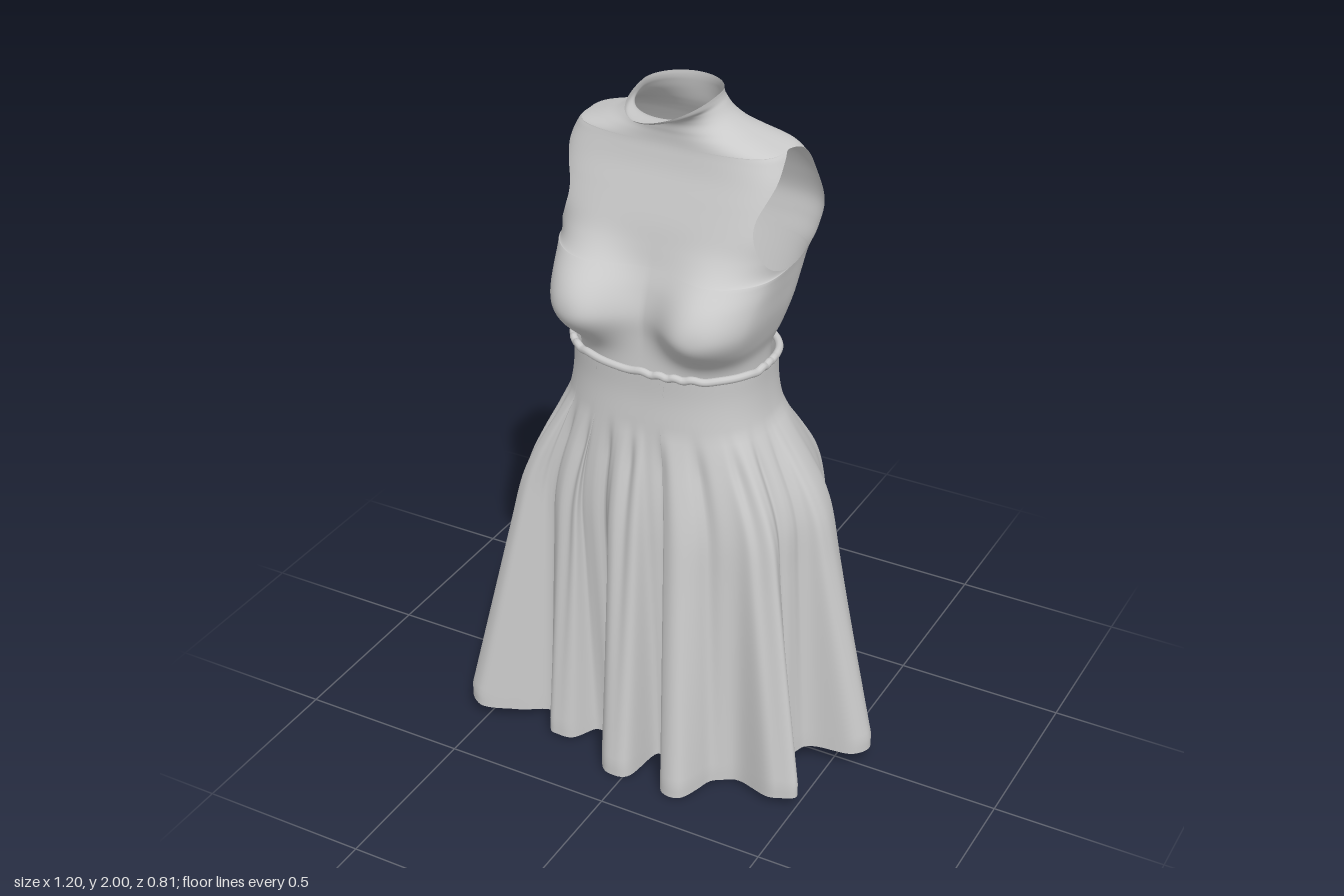
import * as THREE from 'three';
import { mergeGeometries, mergeVertices } from 'three/addons/utils/BufferGeometryUtils.js';

const { clamp, lerp, smoothstep } = THREE.MathUtils;
const CX = -0.013; // the body sits slightly off centre

// Smooth interpolation of a table whose first column is y
function sampleAt(table, y) {
  const last = table.length - 1;
  let i = 0;
  while (i < last - 1 && y > table[i + 1][0]) i++;
  const h = table[i + 1][0] - table[i][0], u = clamp((y - table[i][0]) / h, 0, 1);
  const slope = (k, c) => {
    const a = table[Math.max(k - 1, 0)], b = table[Math.min(k + 1, last)];
    return (b[c] - a[c]) / (b[0] - a[0]);
  };
  return table[i].map((p, c) => {
    const q = table[i + 1][c], w = u * u * (3 - 2 * u);
    return p + (q - p) * w + h * u * (1 - u) * ((1 - u) * slope(i, c) - u * slope(i + 1, c));
  });
}

// Point of a rounded-box outline in direction a; n sets how boxy it is
function outlinePoint(a, n) {
  const c = Math.cos(a), s = Math.sin(a);
  const r = (Math.abs(c) ** n + Math.abs(s) ** n) ** (-1 / n);
  return [r * c, r * s];
}

// Surface from rows (bottom to top) of points, outside facing out
function grid(rows) {
  const n = rows[0].length, index = [];
  for (let i = 0; i < rows.length - 1; i++) {
    for (let j = 0; j < n - 1; j++) {
      const a = i * n + j, b = a + 1, c = a + n, d = c + 1;
      index.push(a, c, b, b, c, d);
    }
  }
  const g = new THREE.BufferGeometry();
  g.setAttribute('position', new THREE.Float32BufferAttribute(rows.flat(2), 3));
  g.setIndex(index);
  return g;
}

function smooth(parts) {
  const g = mergeVertices(mergeGeometries(parts), 1e-4);
  g.computeVertexNormals();
  return g;
}

// Bodice: y, half width, side z, centre front z, centre back z, boxiness
const BODICE = [
  [1.2, 0.264, 0.02, 0.222, -0.152, 2.4],
  [1.3, 0.266, 0.02, 0.214, -0.16, 2.6],
  [1.36, 0.286, 0.01, 0.21, -0.17, 3],
  [1.43, 0.305, 0, 0.207, -0.187, 3.4],
  [1.5, 0.316, -0.02, 0.19, -0.205, 3.6],
  [1.56, 0.326, -0.035, 0.17, -0.22, 3.8],
  [1.61, 0.343, -0.04, 0.157, -0.229, 4.3],
  [1.67, 0.355, -0.04, 0.141, -0.233, 5],
  [1.74, 0.355, -0.04, 0.117, -0.215, 5],
  [1.8, 0.343, -0.04, 0.096, -0.192, 4.6],
  [1.85, 0.315, -0.04, 0.084, -0.168, 3.8],
  [1.87, 0.295, -0.04, 0.081, -0.157, 3.4],
  [1.89, 0.242, -0.036, 0.081, -0.146, 2.8],
  [1.91, 0.188, -0.03, 0.083, -0.137, 2.4],
  [1.94, 0.142, -0.025, 0.093, -0.128, 2.1],
  [1.973, 0.117, -0.018, 0.135, -0.12, 2],
  [1.988, 0.112, -0.012, 0.198, -0.118, 2],
  [2, 0.111, -0.01, 0.217, -0.118, 2],
];
const ARM = { y: 1.7125, radius: 0.1575, front: 0.147, back: 0.15 };

// One half of a bodice row, running from the left side to the right;
// the armhole pushes its ends in from the side seam
function panelRow(y, front) {
  const [, w, zm, zf, zb, n] = sampleAt(BODICE, y);
  const k = clamp((ARM.y - y) / ARM.radius, -1, 1), open = Math.sqrt(1 - k * k);
  const depth = front ? zf - zm : zm - zb;
  const t = (open * (front ? ARM.front * (1 + 0.42 * k) : ARM.back)) / depth;
  const start = Math.atan2(t, (1 - t ** n) ** (1 / n));
  const pts = [], count = 96;
  for (let j = 0; j <= count; j++) {
    const a = lerp(start, Math.PI - start, j / count);
    const [ox, oz] = outlinePoint(front ? a : a + Math.PI, n);
    let x = w * ox, z = zm + depth * oz;
    if (front) {
      x *= 1 - 0.12 * oz * open; // chest narrows between the armholes
      const out = Math.abs(x) - 0.19; // bust
      const dx = out / (out > 0 ? 0.145 : 0.125), dy = (y - 1.43) / (y > 1.43 ? 0.14 : 0.1);
      z += 0.1 * Math.exp(-((dx * dx + dy * dy) ** 1.3)) * smoothstep(oz, 0, 0.6);
    } else { // hollow of the spine
      z += 0.014 * Math.exp(-((x / 0.08) ** 2)) * smoothstep(1.85 - y, 0, 0.2);
    }
    const dip = front ? 0.018 * oz * smoothstep(y, 1.94, 2) : 0; // collar tips down in front
    pts.push([x + CX, y - dip, z]);
  }
  return pts;
}

function bodiceGeometry() {
  const low = ARM.y - ARM.radius, high = ARM.y + ARM.radius, ys = [];
  for (let i = 0; i < 40; i++) ys.push(lerp(1.2, low, i / 40));
  for (let i = 0; i < 48; i++) ys.push(ARM.y - ARM.radius * Math.cos((Math.PI * i) / 48));
  for (let i = 0; i <= 36; i++) ys.push(lerp(high, 2, i / 36));
  return smooth([true, false].map((front) => grid(ys.map((y) => panelRow(y, front)))));
}

// Skirt body: y, half width, front z, back z
const BODY = [
  [0, 0.4, 0.265, -0.325], [0.4, 0.4, 0.265, -0.325], [0.65, 0.4, 0.265, -0.325],
  [0.78, 0.4, 0.265, -0.321], [0.86, 0.385, 0.262, -0.306], [0.94, 0.358, 0.256, -0.262],
  [1.03, 0.325, 0.247, -0.212], [1.12, 0.296, 0.239, -0.186], [1.2, 0.285, 0.233, -0.178],
  [1.28, 0.285, 0.235, -0.177],
];
// Folded hem outline as x, z
const HEM = [
  [0.6, -0.02], [0.57, 0.03], [0.44, 0.06], [0.41, 0.14], [0.46, 0.2], [0.5, 0.26], [0.44, 0.29],
  [0.3, 0.25], [0.24, 0.29], [0.19, 0.39], [0.13, 0.39], [0.1, 0.27], [0.04, 0.24], [0.01, 0.37],
  [-0.04, 0.39], [-0.085, 0.35], [-0.1, 0.25], [-0.17, 0.23], [-0.22, 0.3], [-0.28, 0.31],
  [-0.33, 0.23], [-0.42, 0.28], [-0.52, 0.325], [-0.575, 0.27], [-0.48, 0.14], [-0.44, 0.06],
  [-0.47, 0.01], [-0.59, -0.03], [-0.6, -0.09], [-0.55, -0.13], [-0.42, -0.13], [-0.36, -0.2],
  [-0.4, -0.33], [-0.36, -0.41], [-0.29, -0.39], [-0.2, -0.31], [-0.1, -0.28], [0, -0.27],
  [0.06, -0.3], [0.12, -0.36], [0.2, -0.36], [0.28, -0.33], [0.35, -0.35], [0.39, -0.31],
  [0.36, -0.2], [0.42, -0.13], [0.55, -0.09],
];

function bodyPoint([, w, zf, zb], a) {
  const zm = 0.02, [x, z] = outlinePoint(a, 2.5);
  return [CX + w * x, zm + (z > 0 ? zf - zm : zm - zb) * z];
}

function skirtGeometry() {
  const hem = new THREE.CatmullRomCurve3(HEM.map(([x, z]) => new THREE.Vector3(x, 0, z)), true);
  const cols = 423, rowCount = 64, rows = [];
  const outline = Array.from({ length: cols + 1 }, (_, j) => hem.getPoint((j % cols) / cols));
  for (let i = 0; i <= rowCount; i++) {
    const y = (1.28 * i) / rowCount, body = sampleAt(BODY, y);
    const flare = clamp((1.1 - y) / 1.06, 0, 1);
    rows.push(outline.map((h) => {
      const a = Math.atan2(h.z / 0.38, h.x / 0.55);
      const [bx, bz] = bodyPoint(body, a);
      // narrow gathers across the front
      const gather = 0.018 * (0.5 + 0.5 * Math.cos(24 * a + 1.5 * Math.sin(3 * a))) ** 3
        * smoothstep(Math.sin(a), -0.1, 0.6) * smoothstep(1.12 - y, 0, 0.15) * (1 - 0.6 * flare);
      // soft crease at the centre back
      const crease = a < 0 ? 0.015 * Math.exp(-((bx / 0.05) ** 2) - ((y - 0.9) / 0.13) ** 2) : 0;
      const hemY = 0.055 - 0.055 * smoothstep(h.z, 0.05, 0.27) * (1 - (h.x / 0.62) ** 2);
      return [
        lerp(bx, h.x, flare) - gather * Math.cos(a),
        y + hemY * (1 - y / 1.28),
        lerp(bz, h.z, flare) - gather * Math.sin(a) + crease,
      ];
    }));
  }
  return smooth([grid(rows)]);
}

// Rolled edge around the waist, lightly ruffled in front
function waistbandGeometry() {
  const pts = Array.from({ length: 160 }, (_, i) => {
    const a = (i / 160) * Math.PI * 2;
    const [x, z] = bodyPoint(BODY[9], a);
    const ruffle = 0.003 * smoothstep(Math.sin(a), -0.3, 0.2) * Math.sin(23 * a + 4 * Math.sin(5 * a));
    return new THREE.Vector3(x * (1 + ruffle), 1.274 + ruffle, z * (1 + ruffle));
  });
  return new THREE.TubeGeometry(new THREE.CatmullRomCurve3(pts, true), 400, 0.011, 10, true);
}

export function createModel() {
  const cloth = new THREE.MeshStandardMaterial({ color: 0xcacaca, side: THREE.DoubleSide });
  cloth.name = 'grey cloth';
  const dress = new THREE.Group();
  dress.name = 'dress';
  const parts = { bodice: bodiceGeometry(), skirt: skirtGeometry(), waistband: waistbandGeometry() };
  for (const [name, geometry] of Object.entries(parts)) {
    const mesh = new THREE.Mesh(geometry, cloth);
    mesh.name = name;
    dress.add(mesh);
  }
  return dress;
}
